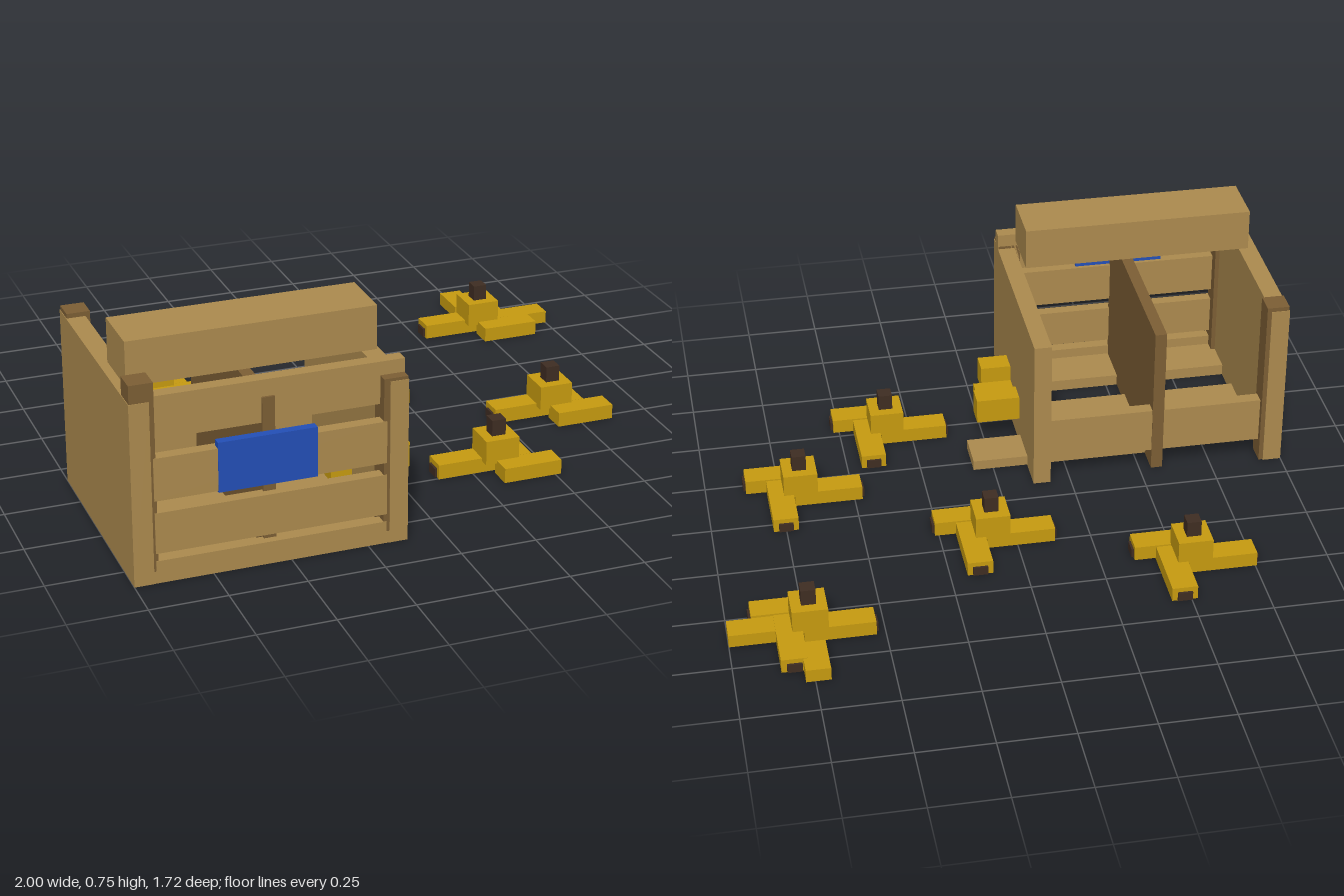
import * as THREE from 'three';

const mat = (name, color) => {
  const m = new THREE.MeshStandardMaterial({ color });
  m.name = name;
  return m;
};

export function createModel() {
  const wood = mat('light wood', 0xad8b4f);
  const darkWood = mat('dark wood', 0x7d5f35);
  const yellow = mat('banana yellow', 0xc89c10);
  const stemBrown = mat('stem brown', 0x3f2d22);
  const blue = mat('label blue', 0x2450b8);

  const model = new THREE.Group();
  model.name = 'crateWithBananas';

  // Box given by its limits on each axis
  const box = (parent, name, material, [x0, x1], [y0, y1], [z0, z1]) => {
    const mesh = new THREE.Mesh(new THREE.BoxGeometry(x1 - x0, y1 - y0, z1 - z0), material);
    mesh.position.set((x0 + x1) / 2, (y0 + y1) / 2, (z0 + z1) / 2);
    mesh.name = name;
    parent.add(mesh);
    return mesh;
  };

  const crate = new THREE.Group();
  crate.name = 'crate';
  model.add(crate);

  // Side panels
  box(crate, 'rightPanel', wood, [-1, -0.937], [0, 0.6], [0.085, 0.855]);
  box(crate, 'leftPanel', wood, [-0.18, -0.12], [0, 0.545], [0.085, 0.855]);

  // Corner posts, set a hair inside the panels' outer faces
  box(crate, 'frontRightPost', darkWood, [-0.998, -0.922], [0.002, 0.66], [0.775, 0.853]);
  box(crate, 'frontLeftPost', darkWood, [-0.2, -0.122], [0.002, 0.555], [0.775, 0.853]);
  box(crate, 'backRightPost', darkWood, [-0.998, -0.922], [0.002, 0.615], [0.087, 0.163]);

  // Divider and the centre post in front of it
  box(crate, 'divider', darkWood, [-0.58, -0.54], [0.002, 0.54], [0.105, 0.775]);
  box(crate, 'centrePost', darkWood, [-0.58, -0.54], [0.002, 0.545], [0.775, 0.828]);

  // Front slats
  box(crate, 'topRail', wood, [-0.99, -0.12], [0.46, 0.6], [0.775, 0.82]);
  [[0.275, 0.415], [0.1, 0.235], [0.04, 0.075]].forEach((y) =>
    box(crate, 'frontSlat', wood, [-0.93, -0.19], y, [0.815, 0.855]));

  // Back slat and floor boards
  box(crate, 'backSlat', wood, [-0.94, -0.18], [0.075, 0.235], [0.108, 0.152]);
  box(crate, 'floorBoard', wood, [-0.94, -0.175], [0, 0.04], [0.36, 0.53]);
  box(crate, 'floorBoard', wood, [-0.94, -0.175], [0, 0.04], [0.66, 0.854]);

  // Loose planks: one on top, one poking out under the side
  box(crate, 'topPlank', wood, [-0.97, -0.175], [0.6, 0.745], [0.53, 0.727]);
  box(crate, 'loosePlank', wood, [-0.585, 0.07], [0.003, 0.038], [0.2, 0.338]);

  // Blue label behind and over the middle slat
  box(crate, 'label', blue, [-0.73, -0.415], [0.27, 0.435], [0.828, 0.857]);

  // Bananas spilling through the side
  const spill = new THREE.Group();
  spill.name = 'spilledBananas';
  model.add(spill);
  box(spill, 'banana', yellow, [-0.225, 0.03], [0.095, 0.183], [0.355, 0.43]);
  box(spill, 'banana', yellow, [-0.25, 0.015], [0.065, 0.15], [0.443, 0.525]);
  box(spill, 'banana', yellow, [-0.13, -0.015], [0.12, 0.205], [0.53, 0.607]);

  // Banana bunches: three fingers with dark tips, a crown and a stem
  const bunch = (x, z) => {
    const g = new THREE.Group();
    g.name = 'bananaBunch';
    g.position.set(x, 0, z);
    box(g, 'banana', yellow, [-0.21, 0.02], [0, 0.05], [-0.055, 0.025]);
    box(g, 'banana', yellow, [0.025, 0.11], [0, 0.048], [-0.195, 0.04]);
    box(g, 'banana', yellow, [-0.02, 0.18], [0, 0.05], [0.045, 0.125]);
    box(g, 'bananaTip', stemBrown, [-0.218, -0.205], [0.002, 0.032], [-0.04, 0.01]);
    box(g, 'bananaTip', stemBrown, [0.043, 0.092], [0.002, 0.032], [-0.203, -0.19]);
    box(g, 'bananaTip', stemBrown, [0.175, 0.188], [0.002, 0.032], [0.06, 0.11]);
    box(g, 'crown', yellow, [-0.058, 0.058], [0.04, 0.123], [-0.058, 0.058]);
    box(g, 'stem', stemBrown, [-0.024, 0.024], [0.123, 0.178], [-0.024, 0.024]);
    model.add(g);
  };
  [[-0.545, -0.46], [0.083, -0.205], [0.34, 0.48], [0.683, 0.153], [0.74, -0.603]]
    .forEach(([x, z]) => bunch(x, z));

  // Loose bananas by the far bunch
  box(model, 'looseBanana', yellow, [0.7, 0.78], [0.001, 0.046], [-0.86, -0.715]);
  box(model, 'looseBanana', yellow, [0.78, 1], [0.001, 0.045], [-0.642, -0.562]);

  return model;
}
